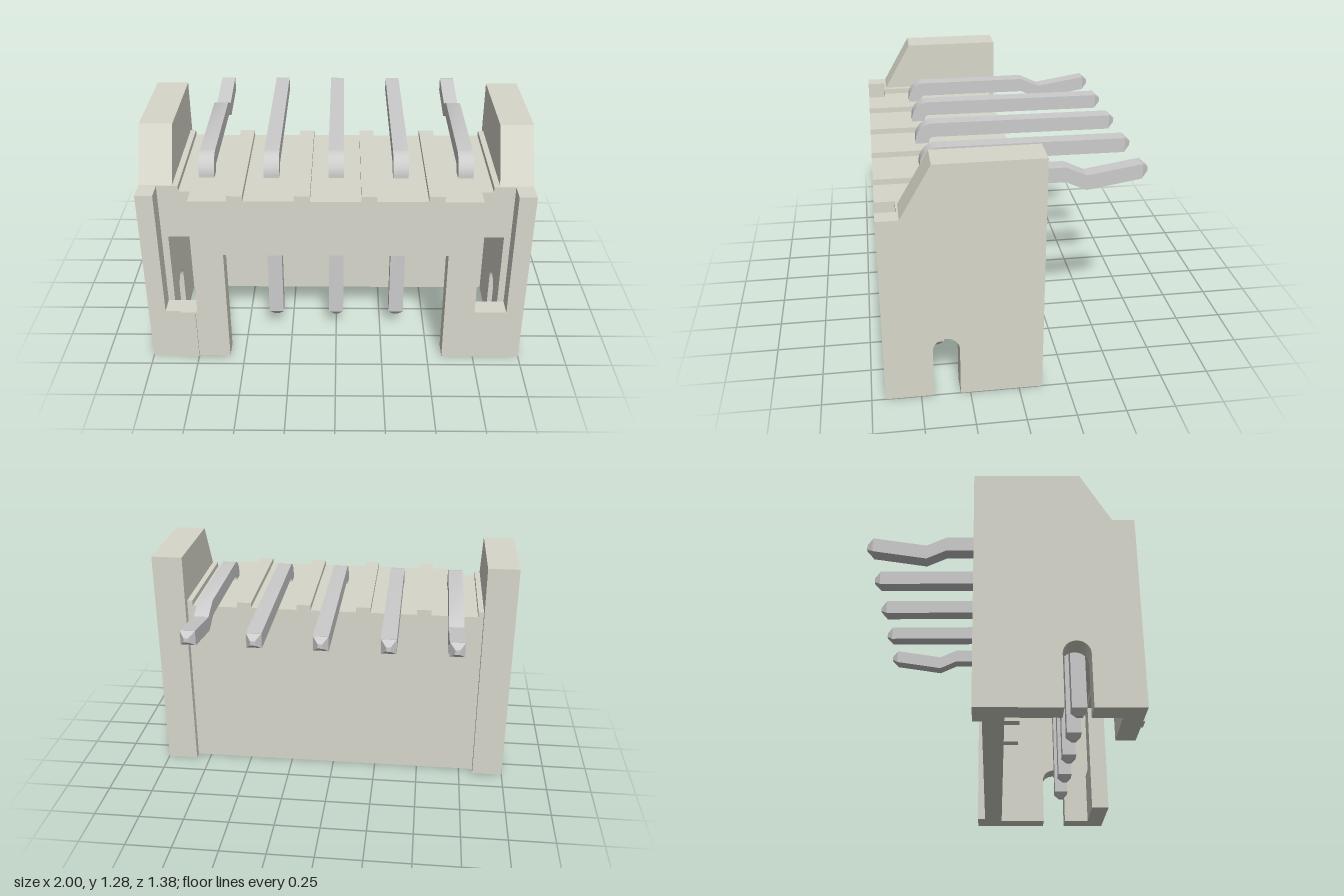
import * as THREE from 'three';
import { toCreasedNormals } from 'three/addons/utils/BufferGeometryUtils.js';

const shellMat = new THREE.MeshStandardMaterial({ color: 0xd8d7cb });
const pinMat = new THREE.MeshStandardMaterial({ color: 0xcccccc });

function add(parent, name, geometry, material) {
  const mesh = new THREE.Mesh(geometry, material);
  mesh.name = name;
  parent.add(mesh);
  return mesh;
}

// Box given by its limits on each axis
function box(parent, name, x0, x1, y0, y1, z0, z1) {
  const g = new THREE.BoxGeometry(x1 - x0, y1 - y0, z1 - z0);
  g.translate((x0 + x1) / 2, (y0 + y1) / 2, (z0 + z1) / 2);
  return add(parent, name, g, shellMat);
}

// Extrude a (z, y) outline across x0..x1
function across(shape, x0, x1) {
  const g = new THREE.ExtrudeGeometry(shape, { depth: x1 - x0, bevelEnabled: false, curveSegments: 10 });
  g.rotateY(-Math.PI / 2).translate(x1, 0, 0);
  return toCreasedNormals(g, 0.5);
}

const polygon = (pts) => new THREE.Shape(pts.map(([a, b]) => new THREE.Vector2(a, b)));

// Side wall outline with a round-topped slot open at the bottom
function wallShape(front) {
  const s = new THREE.Shape();
  s.moveTo(-0.12, 0);
  s.lineTo(0.3, 0);
  s.lineTo(0.3, 0.27);
  s.absarc(0.3675, 0.27, 0.0675, Math.PI, 0, true);
  s.lineTo(0.435, 0);
  s.lineTo(front, 0);
  s.lineTo(front, 1.01);
  s.lineTo(0.57, 1.01);
  s.lineTo(0.415, 1.28);
  s.lineTo(-0.12, 1.28);
  s.closePath();
  return s;
}

function makePin(x, kinked) {
  const pin = new THREE.Group();
  pin.name = 'pin';
  pin.position.x = x;
  const end = 1.05;

  // Bent side outline: vertical leg, rounded elbow, horizontal tail
  const s = new THREE.Shape();
  s.moveTo(0.36, 0.12);
  s.lineTo(0.435, 0.12);
  s.lineTo(0.435, 0.995);
  s.absarc(0.335, 0.995, 0.1, 0, Math.PI / 2, false);
  if (kinked) {
    s.lineTo(-0.27, 1.095);
    s.lineTo(-0.375, 1.045);
  }
  s.lineTo(-0.66, end + 0.04);
  s.lineTo(-0.66, end - 0.04);
  if (kinked) {
    s.lineTo(-0.375, 0.965);
    s.lineTo(-0.27, 1.015);
  }
  s.lineTo(0.335, 1.015);
  s.absarc(0.335, 0.99, 0.025, Math.PI / 2, 0, true);
  s.closePath();
  add(pin, 'pinShaft', across(s, -0.04, 0.04), pinMat);

  // Chamfered tips at both ends
  const tip = () => new THREE.CylinderGeometry(0.04 * Math.SQRT2, 0.012 * Math.SQRT2, 0.035, 4)
    .rotateY(Math.PI / 4).toNonIndexed();
  const lower = tip().translate(0, 0.1025, 0.3975);
  const rear = tip().rotateX(Math.PI / 2).translate(0, end, -0.675);
  for (const [name, g] of [['lowerTip', lower], ['rearTip', rear]]) {
    g.computeVertexNormals();
    add(pin, name, g, pinMat);
  }
  return pin;
}

export function createModel() {
  const model = new THREE.Group();
  model.name = 'pinHeader';
  const housing = new THREE.Group();
  housing.name = 'housing';
  model.add(housing);

  // Front wall: wide opening below, a tall groove at each end
  const front = polygon([
    [-0.91, 0], [-0.58, 0], [-0.58, 0.66], [0.58, 0.66], [0.58, 0], [0.91, 0],
    [0.91, 0.3], [0.74, 0.3], [0.74, 0.98], [-0.74, 0.98], [-0.74, 0.3], [-0.91, 0.3],
  ]);
  const frontGeo = new THREE.ExtrudeGeometry(front, { depth: 0.1, bevelEnabled: false });
  add(housing, 'frontWall', frontGeo.translate(0, 0, 0.58), shellMat);

  box(housing, 'backWall', -0.88, 0.88, 0, 0.98, -0.075, 0.03);
  box(housing, 'roof', -0.83, 0.83, 0.71, 0.98, 0.03, 0.58);
  box(housing, 'keyRib', -0.83, -0.75, 0, 0.3, 0.68, 0.69);

  // Side walls, thinner where the grooves run, with thick upper cheeks
  const cheek = polygon([[-0.12, 0.71], [0.58, 0.71], [0.58, 1.01], [0.57, 1.01], [0.415, 1.28], [-0.12, 1.28]]);
  for (const side of [-1, 1]) {
    const span = (a, b) => (side > 0 ? [a, b] : [-b, -a]);
    add(housing, 'sideWall', across(wallShape(0.68), ...span(0.91, 1)), shellMat);
    add(housing, 'innerWall', across(wallShape(0.58), ...span(0.875, 0.91)), shellMat);
    add(housing, 'cheek', across(cheek, ...span(0.83, 0.875)), shellMat);
    box(housing, 'rearPost', ...span(0.83, 0.875), 0, 0.71, -0.12, 0.03);
    box(housing, 'roofEdge', ...span(0.8, 0.83), 0.98, 1.01, -0.075, 0.58);
  }

  // Ribs between the pins, on the roof and inside the cavity
  for (const x of [-0.505, -0.168, 0.168, 0.505]) {
    box(housing, 'roofRib', x - 0.04, x + 0.04, 0.98, 1.01, -0.075, 0.68);
    box(housing, 'innerRib', x - 0.0325, x + 0.0325, 0.39, 0.71, 0.03, 0.13);
  }

  // Row of five pins; the outer two have a retaining kink
  for (let i = -2; i <= 2; i++) model.add(makePin(i * 0.337, Math.abs(i) === 2));

  return model;
}
